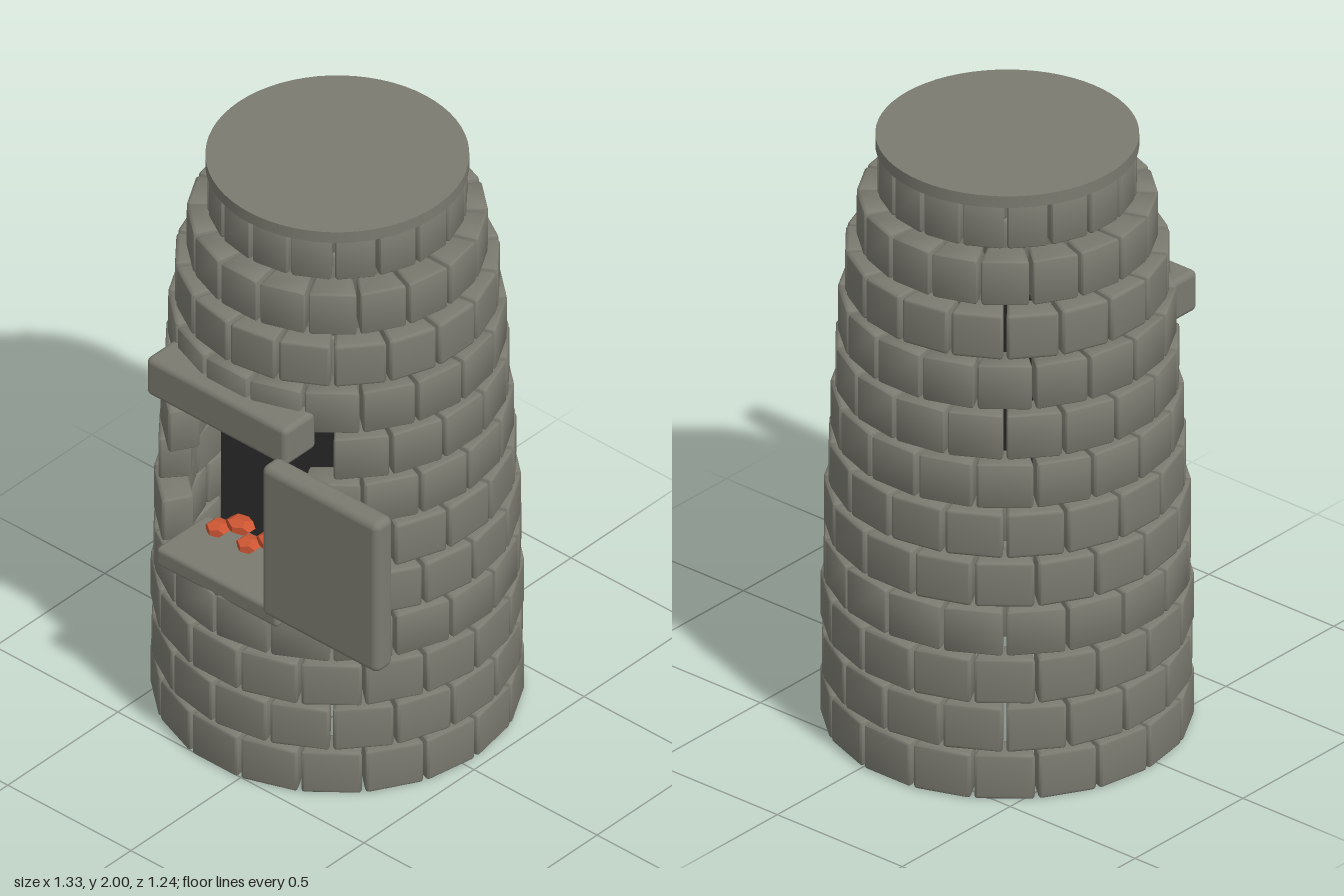
import * as THREE from 'three';
import { RoundedBoxGeometry } from 'three/addons/geometries/RoundedBoxGeometry.js';
import { toCreasedNormals } from 'three/addons/utils/BufferGeometryUtils.js';

const stone = new THREE.MeshStandardMaterial({ color: 0x7a7a70 });
stone.name = 'stone';
const soot = new THREE.MeshStandardMaterial({ color: 0x2e2e2e });
soot.name = 'soot';
const ember = new THREE.MeshStandardMaterial({ color: 0xcc5533 });
ember.name = 'ember';

const BRICKS = 18;              // bricks in each ring
const STEP = (Math.PI * 2) / BRICKS;
const DEPTH = 0.1;
const HEIGHT = 0.153;
const PITCH = 0.1645;           // course spacing
const RADII = [0.56, 0.56, 0.56, 0.555, 0.55, 0.54, 0.53, 0.52, 0.508, 0.49, 0.452, 0.392];

function add(parent, name, geometry, material, x, y, z) {
  const mesh = new THREE.Mesh(geometry, material);
  mesh.name = name;
  mesh.position.set(x, y, z);
  parent.add(mesh);
  return mesh;
}

// Rounded slab given by its low and high corners
function slab(parent, name, lo, hi, radius) {
  const size = hi.map((v, i) => v - lo[i]);
  const mid = hi.map((v, i) => (v + lo[i]) / 2);
  return add(parent, name, new RoundedBoxGeometry(...size, 3, radius), stone, ...mid);
}

// Wedge-shaped brick with its flat outer face at the given radius
function brickGeometry(radius) {
  const half = (r) => r * Math.tan(STEP / 2) - 0.005;
  const geo = new RoundedBoxGeometry(2 * half(radius), HEIGHT, DEPTH, 2, 0.012);
  geo.translate(0, 0, radius - DEPTH / 2);
  const p = geo.attributes.position;
  for (let i = 0; i < p.count; i++) {
    p.setX(i, (p.getX(i) * half(p.getZ(i))) / half(radius));
  }
  return toCreasedNormals(geo, 0.9);
}

export function createModel() {
  const model = new THREE.Group();
  model.name = 'stoneOven';

  // Tapering tower of staggered brick rings, open at the front for the firebox
  const tower = new THREE.Group();
  tower.name = 'tower';
  tower.position.set(-0.1, 0, -0.05);
  model.add(tower);
  RADII.forEach((radius, row) => {
    const course = new THREE.Group();
    course.name = 'brickCourse' + (row + 1);
    const geo = brickGeometry(radius);
    for (let i = 0; i < BRICKS; i++) {
      const angle = (i - BRICKS / 2 + (row % 2) / 2) * STEP;
      const inOpening = row >= 4 && row <= 7 && Math.abs(angle) < 0.61;
      if (inOpening) continue;
      add(course, 'brick', geo, stone, 0, 0.08 + row * PITCH, 0).rotation.y = angle;
    }
    tower.add(course);
  });

  // Round lid
  add(tower, 'cap', new THREE.CylinderGeometry(0.4, 0.4, 0.04, 64), stone, 0, 1.98, 0);

  // Firebox surround and open door
  slab(model, 'lintel', [-0.385, 1.26, 0.36], [0.185, 1.4, 0.505], 0.02);
  slab(model, 'sill', [-0.345, 0.635, 0.27], [0.148, 0.703, 0.503], 0.015);
  slab(model, 'door', [0.185, 0.775, 0.54], [0.66, 1.337, 0.62], 0.025);

  // Dark back of the firebox
  add(model, 'fireboxBack', new THREE.BoxGeometry(0.48, 0.63, 0.02), soot, -0.1, 0.97, 0.2);

  // Glowing coals in two staggered heights
  const coal = new THREE.DodecahedronGeometry(0.045, 0);
  [-0.255, -0.19, -0.13, -0.065, -0.01, 0.06].forEach((x, i) => {
    const mesh = add(model, 'coal', coal, ember, x, i % 2 ? 0.747 : 0.72, i % 2 ? 0.29 : 0.32);
    mesh.scale.set(i % 2 ? 1.15 : 0.9, 0.55, 0.9);
  });
  ember.flatShading = true;

  return model;
}
